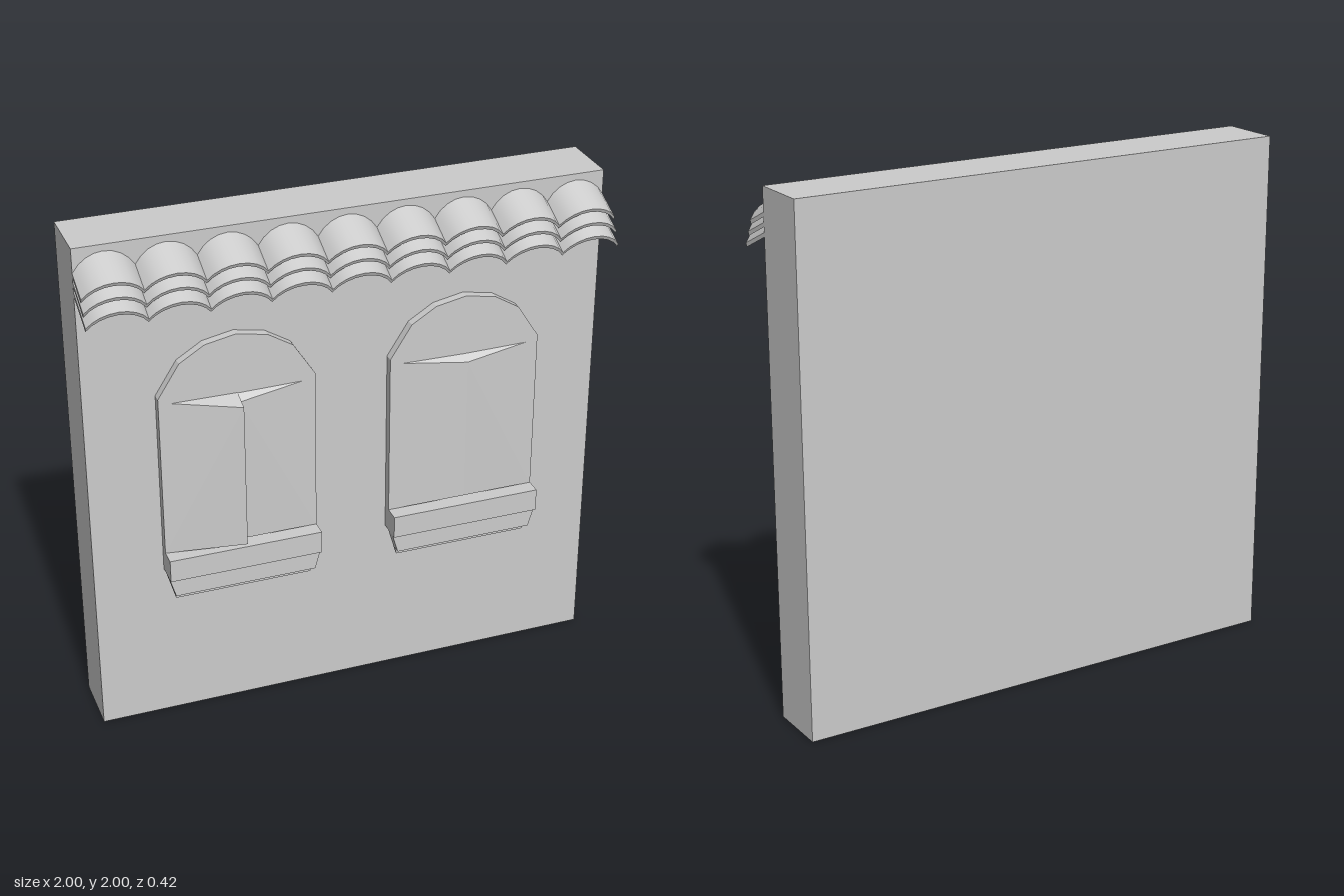
import * as THREE from 'three';
import { toCreasedNormals } from 'three/addons/utils/BufferGeometryUtils.js';

const material = new THREE.MeshStandardMaterial({ color: 0xcccccc });

function addMesh(parent, name, geometry, x = 0, y = 0, z = 0) {
  const mesh = new THREE.Mesh(geometry, material);
  mesh.name = name;
  mesh.position.set(x, y, z);
  parent.add(mesh);
  return mesh;
}

// Flat outline extruded from z0 to z1
function slab(points, z0, z1) {
  const shape = new THREE.Shape(points.map(([x, y]) => new THREE.Vector2(x, y)));
  return new THREE.ExtrudeGeometry(shape, { depth: z1 - z0, bevelEnabled: false }).translate(0, 0, z0);
}

// Symmetric trapezoid: half widths at the top and bottom
const trapezoid = (top, yTop, bottom, yBottom) =>
  [[-bottom, yBottom], [bottom, yBottom], [top, yTop], [-top, yTop]];

// One shutter leaf: thin at the outer edge, standing proud at the middle
function leafGeometry(side, peak) {
  const back = 0.06, edge = 0.065;
  const corners = [
    [side * 0.295, 0.735, edge], [0, 0.755, peak], [0, 1.335, peak], [side * 0.25, 1.36, edge],
    [side * 0.295, 0.735, back], [0, 0.735, back], [0, 1.36, back], [side * 0.25, 1.36, back],
  ];
  const quads = [[0, 1, 2, 3], [5, 4, 7, 6], [4, 5, 1, 0], [3, 2, 6, 7], [1, 5, 6, 2], [4, 0, 3, 7]];
  const positions = [];
  for (const [a, b, c, d] of quads) {
    const order = side < 0 ? [a, b, c, a, c, d] : [a, c, b, a, d, c];
    for (const i of order) positions.push(...corners[i]);
  }
  const geometry = new THREE.BufferGeometry();
  geometry.setAttribute('position', new THREE.Float32BufferAttribute(positions, 3));
  geometry.computeVertexNormals();
  return geometry;
}

function createWindow(name, x, leftPeak, rightPeak) {
  const group = new THREE.Group();
  group.name = name;
  group.position.x = x;

  // Arched panel
  const arch = [[0.297, 1.383], [0.214, 1.513], [0.118, 1.572]];
  const outline = [
    [-0.297, 0.645], [0.297, 0.645], ...arch, [0, 1.595],
    ...arch.map(([px, py]) => [-px, py]).reverse(),
  ];
  addMesh(group, 'archedPanel', slab(outline, 0.02, 0.065));

  // Shutter leaves
  addMesh(group, 'shutterLeafRight', leafGeometry(-1, leftPeak));
  addMesh(group, 'shutterLeafLeft', leafGeometry(1, rightPeak));

  // Sill with stepped, tapering moulding below
  addMesh(group, 'sill', new THREE.BoxGeometry(0.594, 0.09, 0.107), 0, 0.69, 0.0735);
  addMesh(group, 'upperMoulding', slab(trapezoid(0.297, 0.645, 0.275, 0.567), 0.064, 0.11));
  addMesh(group, 'lowerMoulding', slab(trapezoid(0.275, 0.567, 0.266, 0.535), 0.064, 0.075));
  return group;
}

// Curved roof tile, crown of the front end at the origin
function tileGeometry(width, rise, thickness, length) {
  const half = width / 2, steps = 8;
  const radius = (half * half + rise * rise) / (2 * rise);
  const spread = Math.asin(half / radius);
  const outer = [];
  for (let i = 0; i <= steps; i++) {
    const a = spread * (1 - (2 * i) / steps);
    outer.push([radius * Math.sin(a), radius * (Math.cos(a) - 1)]);
  }
  const inner = outer.map(([x, y]) => [x, y - thickness]).reverse();
  return toCreasedNormals(slab([...outer, ...inner], -length, 0), 0.6);
}

export function createModel() {
  const model = new THREE.Group();
  model.name = 'wallWithWindows';

  addMesh(model, 'wall', new THREE.BoxGeometry(2, 2, 0.24), 0, 1, -0.09);

  model.add(createWindow('windowRight', -0.435, 0.14, 0.095));
  model.add(createWindow('windowLeft', 0.452, 0.095, 0.095));

  // Three overlapping rows of sloping tiles
  const eaves = new THREE.Group();
  eaves.name = 'tiledEaves';
  const count = 9, width = 2 / count;
  const tile = tileGeometry(width, 0.062, 0.015, 0.2);
  const rows = [[1.915, 0.165], [1.87, 0.186], [1.825, 0.207]];
  for (const [y, z] of rows) {
    for (let i = 0; i < count; i++) {
      addMesh(eaves, 'roofTile', tile, -1 + width * (i + 0.5), y, z).rotation.x = 0.42;
    }
  }
  model.add(eaves);
  return model;
}
